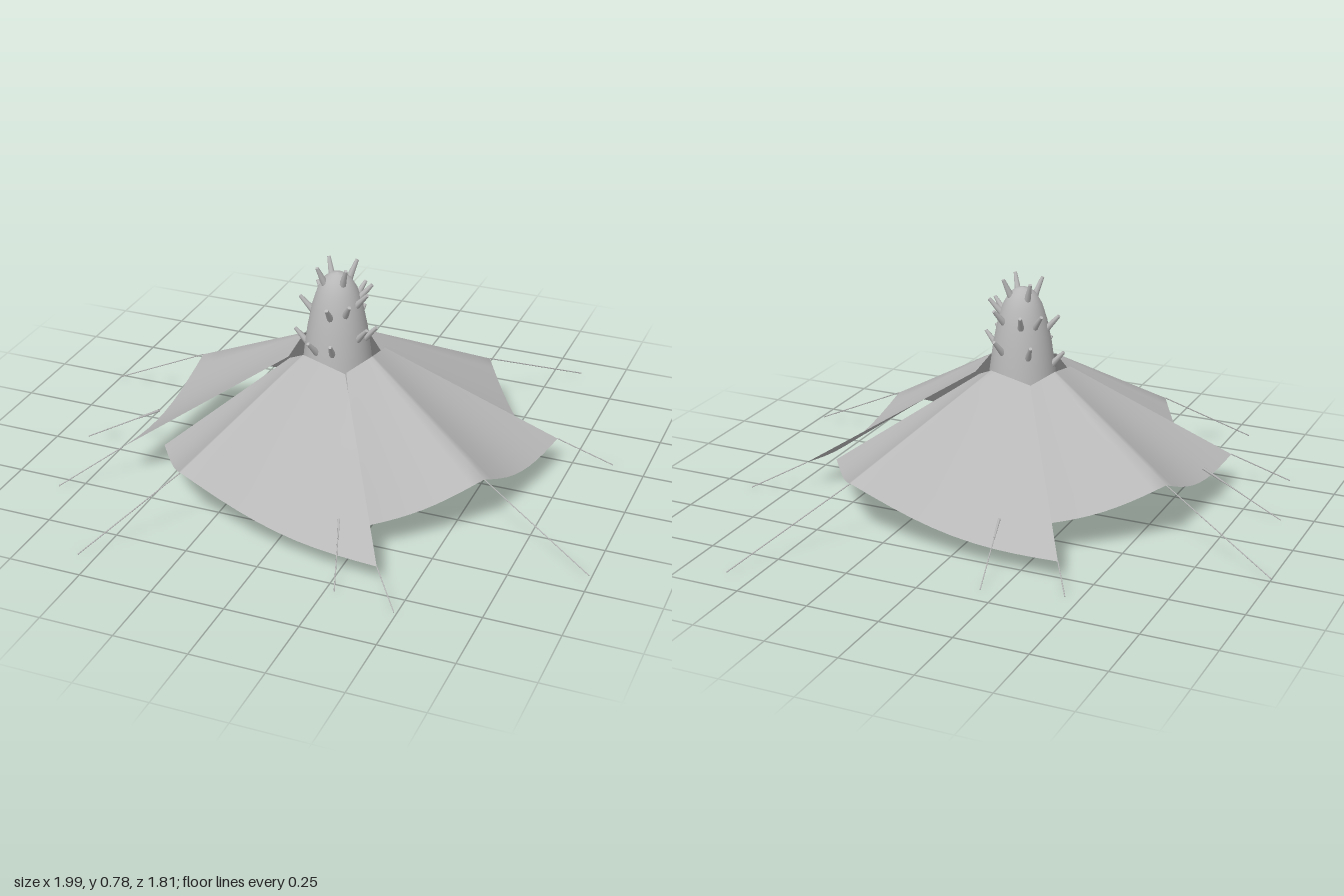
import * as THREE from 'three';

const V = (x, y, z) => new THREE.Vector3(x, y, z);
const UP = V(0, 1, 0);

// Centre of the tower on the ground
const CX = 0.01, CZ = 0.09;

// Cloth panel pair: three inner points, three outer corners, hems sagging between corners
function canopyGeometry(inner, outer) {
  const n = 20, m = 6, pos = [], index = [];
  for (let i = 0; i <= n; i++) {
    const t = (i / n) * 2, k = Math.min(1, Math.floor(t)), f = t - k;
    const a = V(...inner[k]).lerp(V(...inner[k + 1]), f);
    const b = V(...outer[k]).lerp(V(...outer[k + 1]), f);
    const sag = (k === 0 ? 0.05 : 0.025) * Math.sin(Math.PI * f);
    for (let j = 0; j <= m; j++) {
      const p = a.clone().lerp(b, j / m);
      pos.push(p.x, p.y - sag * (j / m), p.z);
    }
  }
  for (let i = 0; i < n; i++) {
    for (let j = 0; j < m; j++) {
      const a = i * (m + 1) + j, b = a + m + 1;
      index.push(a, b, b + 1, a, b + 1, a + 1);
    }
  }
  const g = new THREE.BufferGeometry();
  g.setAttribute('position', new THREE.Float32BufferAttribute(pos, 3));
  g.setIndex(index);
  g.computeVertexNormals();
  return g;
}

// Round bar between two points
function bar(name, from, to, r0, r1, material, sides = 6) {
  const dir = to.clone().sub(from);
  const mesh = new THREE.Mesh(new THREE.CylinderGeometry(r1, r0, dir.length(), sides), material);
  mesh.name = name;
  mesh.position.copy(from).add(to).multiplyScalar(0.5);
  mesh.quaternion.setFromUnitVectors(UP, dir.normalize());
  return mesh;
}

export function createModel() {
  const model = new THREE.Group();
  model.name = 'canopyTower';
  const grey = new THREE.MeshStandardMaterial({ color: 0xb8b8b8, side: THREE.DoubleSide });
  grey.name = 'grey';

  // Tower: open tube rising to a rounded tip
  const profile = [[0.132, 0.022], [0.13, 0.2], [0.122, 0.36], [0.112, 0.46], [0.1, 0.55],
    [0.084, 0.63], [0.067, 0.685], [0.045, 0.724], [0.022, 0.74], [0, 0.745]];
  const tower = new THREE.Mesh(
    new THREE.LatheGeometry(profile.map(([r, y]) => new THREE.Vector2(r, y)), 40), grey);
  tower.name = 'tower';
  tower.position.set(CX, 0, CZ);
  model.add(tower);

  // Spikes: angle from the front towards +x, height
  const radiusAt = (y) => {
    const i = Math.max(1, profile.findIndex((p) => p[1] >= y));
    const [r0, y0] = profile[i - 1], [r1, y1] = profile[i];
    return r0 + (r1 - r0) * (y - y0) / (y1 - y0);
  };
  const spikes = [[45, 0.715], [-45, 0.71], [135, 0.715], [225, 0.71],
    [40, 0.62], [78, 0.64], [110, 0.65], [150, 0.63], [200, 0.62], [235, 0.62], [282, 0.6], [5, 0.61],
    [65, 0.53], [88, 0.52], [12, 0.49], [-20, 0.485], [160, 0.53], [215, 0.52], [278, 0.475]];
  for (const [deg, y] of spikes) {
    const a = THREE.MathUtils.degToRad(deg), r = radiusAt(y);
    const out = V(Math.sin(a), 0, Math.cos(a));
    const lift = y > 0.7 ? 0.062 : 0.05, reach = y > 0.7 ? 0.02 : 0.036;
    const from = V(CX, y, CZ).addScaledVector(out, r - 0.008);
    const to = V(CX, y + lift, CZ).addScaledVector(out, r + reach);
    model.add(bar('spike', from, to, 0.012, 0.006, grey, 8));
  }

  // Four overlapping canopies
  const canopies = {
    backCanopy: [[[-0.08, 0.45, -0.05], [0.065, 0.48, -0.045], [0.135, 0.44, 0.01]],
      [[-0.39, 0.07, -0.53], [0.355, 0.2, -0.52], [0.6, 0.115, -0.18]]],
    leftCanopy: [[[0.145, 0.45, 0], [0.145, 0.475, 0.125], [0.085, 0.44, 0.2]],
      [[0.7, 0.1, -0.22], [0.6, 0.2, 0.295], [0.285, 0.108, 0.57]]],
    frontCanopy: [[[0.085, 0.44, 0.21], [-0.065, 0.48, 0.205], [-0.13, 0.44, 0.17]],
      [[0.39, 0.07, 0.71], [-0.32, 0.207, 0.63], [-0.52, 0.118, 0.35]]],
    rightCanopy: [[[-0.13, 0.45, 0.18], [-0.13, 0.475, 0.04], [-0.07, 0.44, -0.04]],
      [[-0.645, 0.12, 0.42], [-0.605, 0.215, -0.14], [-0.265, 0.115, -0.39]]],
  };
  for (const [name, [inner, outer]] of Object.entries(canopies)) {
    const mesh = new THREE.Mesh(canopyGeometry(inner, outer), grey);
    mesh.name = name;
    model.add(mesh);
  }

  // Guy ropes from the canopies down to the ground: start, then ground x and z
  const ropes = [
    [[0.355, 0.2, -0.52], 0.6, -0.905], [[-0.39, 0.07, -0.53], -0.45, -0.615],
    [[0.7, 0.1, -0.22], 0.885, -0.285], [[0.6, 0.2, 0.295], 0.99, 0.41],
    [[0.39, 0.07, 0.71], 0.49, 0.825], [[-0.32, 0.207, 0.63], -0.56, 0.9],
    [[-0.645, 0.12, 0.42], -0.825, 0.55], [[-0.605, 0.215, -0.14], -1, -0.235],
  ];
  for (const [start, x, z] of ropes) {
    model.add(bar('guyRope', V(...start), V(x, 0, z), 0.002, 0.002, grey));
  }

  // Mid-panel ropes with a thicker tapered end on the cloth
  const midRopes = [[[0.22, 0.14, 0.6], 0.28, 0.79], [[-0.62, 0.15, 0.19], -0.895, 0.21],
    [[-0.16, 0.15, -0.47], -0.19, -0.68]];
  for (const [start, x, z] of midRopes) {
    const from = V(...start), to = V(x, 0, z);
    model.add(bar('guyRope', from, to, 0.002, 0.002, grey));
    model.add(bar('ropeEnd', from, from.clone().lerp(to, 0.28), 0.005, 0.003, grey));
  }
  return model;
}
